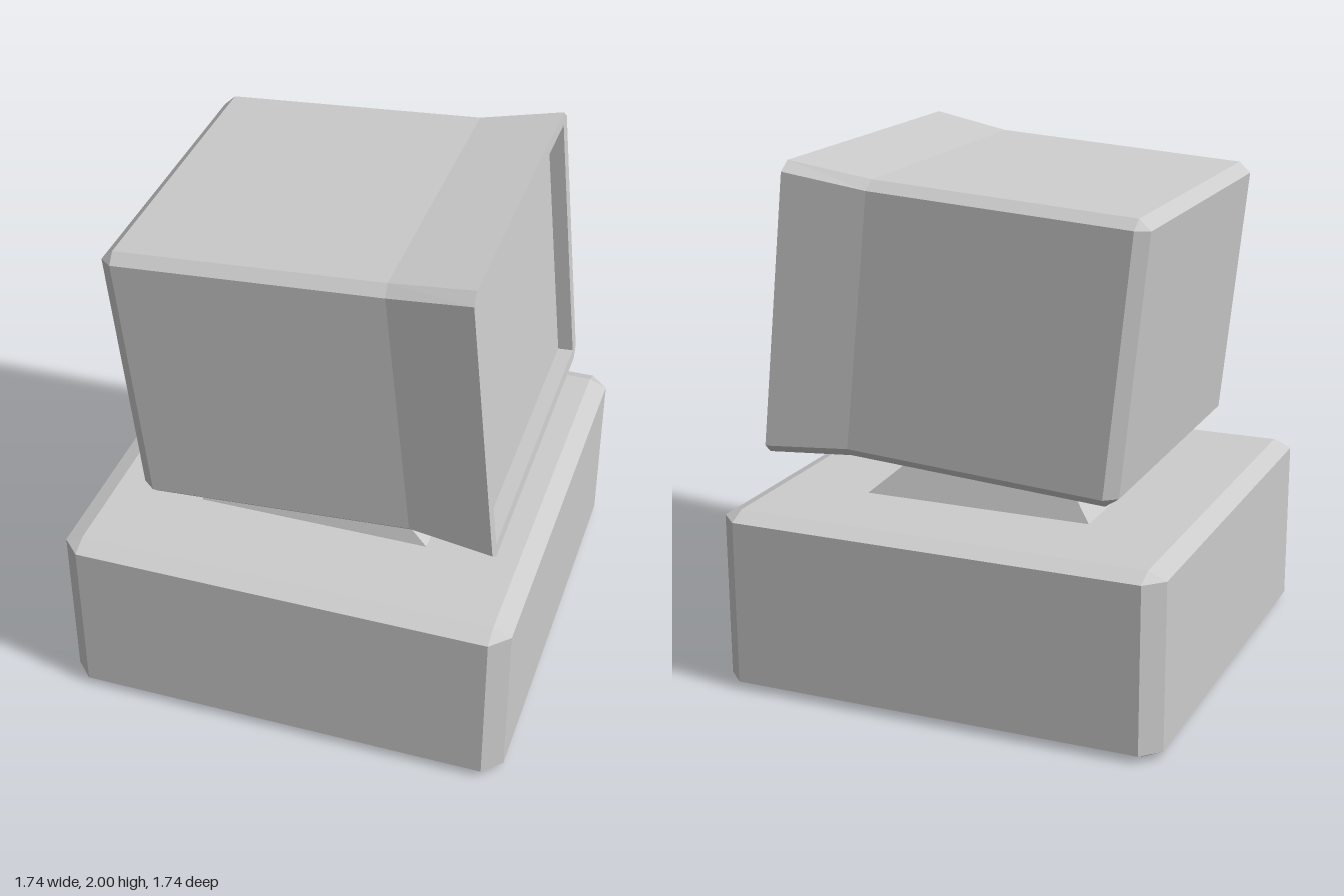
import * as THREE from 'three';

// Eight-point cross-section at height t: half sizes a, b with corner cuts ca, cb.
// A cut of zero gives a plain rectangle. ob shifts the section along b.
function ring(t, a, b, ca = 0, cb = ca, ob = 0) {
  return [
    [a, -b + cb], [a, b - cb], [a - ca, b], [-a + ca, b],
    [-a, b - cb], [-a, -b + cb], [-a + ca, -b], [a - ca, -b],
  ].map(([p, q]) => new THREE.Vector3(p, q + ob, t));
}

// Joins successive rings with flat faces and optionally closes the ends.
function loft(rings, capStart = true, capEnd = true) {
  const pos = [];
  const tri = (p, q, r) => {
    const area = q.clone().sub(p).cross(r.clone().sub(p)).length();
    if (area > 1e-7) for (const v of [p, q, r]) pos.push(v.x, v.y, v.z);
  };
  for (let k = 0; k < rings.length - 1; k++) {
    const lo = rings[k], hi = rings[k + 1];
    for (let i = 0; i < 8; i++) {
      const j = (i + 1) % 8;
      tri(lo[i], lo[j], hi[j]);
      tri(lo[i], hi[j], hi[i]);
    }
  }
  const first = rings[0], last = rings[rings.length - 1];
  for (let i = 1; i < 7; i++) {
    if (capStart) tri(first[0], first[i + 1], first[i]);
    if (capEnd) tri(last[0], last[i], last[i + 1]);
  }
  const g = new THREE.BufferGeometry();
  g.setAttribute('position', new THREE.Float32BufferAttribute(pos, 3));
  return g;
}

export function createModel() {
  const model = new THREE.Group();
  model.name = 'desktopComputer';
  const grey = new THREE.MeshStandardMaterial({ color: 0xcccccc, flatShading: true });
  grey.name = 'casingGrey';

  const add = (name, geometry, frame) => {
    geometry.applyMatrix4(frame);
    geometry.computeVertexNormals();
    const mesh = new THREE.Mesh(geometry, grey);
    mesh.name = name;
    model.add(mesh);
  };
  const V = (x, y, z) => new THREE.Vector3(x, y, z);

  // Upright frame: sections stack along y
  const upright = new THREE.Matrix4().makeBasis(V(0, 0, 1), V(1, 0, 0), V(0, 1, 0));

  // Case with bevelled edges
  add('computerCase', loft([
    ring(0, 0.8, 0.8),
    ring(0.03, 0.87, 0.87, 0.07),
    ring(0.67, 0.87, 0.87, 0.07),
    ring(0.7, 0.8, 0.8),
  ]), upright);

  // Tapered stand leaning with the monitor
  add('monitorStand', loft([
    ring(0.695, 0.452, 0.455),
    ring(0.94, 0.375, 0.225, 0, 0, -0.05),
  ]), upright);

  // Tilted, slightly sheared monitor frame: sections run back to front along x
  const tilted = new THREE.Matrix4()
    .makeBasis(V(-0.1035, 0.9946, 0), V(0.009, 0.003, 1), V(0.9978, 0.0668, -0.005))
    .setPosition(0.6975, 1.4475, -0.006);

  // Housing, flared bezel and the walls of the screen recess
  add('monitorHousing', loft([
    ring(-1.368, 0.485, 0.61),
    ring(-1.32, 0.523, 0.651, 0.036, 0.04),
    ring(-0.318, 0.523, 0.653, 0.036, 0.04),
    ring(0, 0.557, 0.695, 0.036, 0.045),
    ring(0, 0.51, 0.638),
    ring(-0.06, 0.51, 0.638),
  ], true, false), tilted);

  add('screen', loft([ring(-0.06, 0.51, 0.638)], false, true), tilted);

  return model;
}
